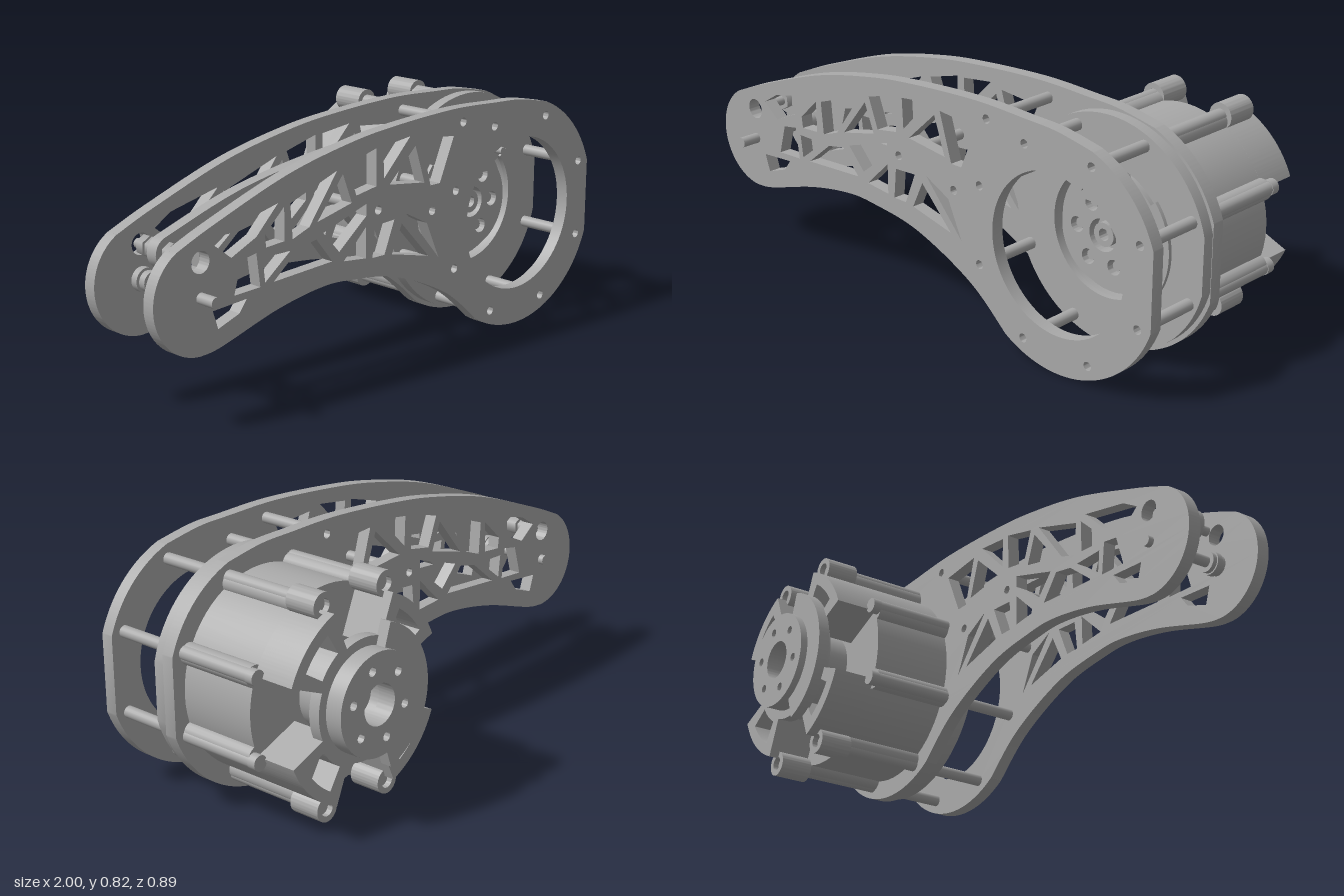
import * as THREE from 'three';
import { toCreasedNormals } from 'three/addons/utils/BufferGeometryUtils.js';

const CX = 0.622, CY = 0.4; // motor axis
const rad = THREE.MathUtils.degToRad;
const V = (p) => new THREE.Vector2(p[0], p[1]);

export function createModel() {
  const root = new THREE.Group();
  const metal = new THREE.MeshStandardMaterial({ color: 0xa9a9a9 });
  metal.name = 'machined grey';

  const add = (name, geometry, parent = root) => {
    const m = new THREE.Mesh(geometry, metal);
    m.name = name;
    parent.add(m);
    return m;
  };
  // Flat shape pulled from z0 to z1
  const slab = (name, shape, z0, z1, parent) => {
    const g = new THREE.ExtrudeGeometry(shape, { depth: z1 - z0, bevelEnabled: false, curveSegments: 40 });
    g.translate(0, 0, z0);
    return add(name, toCreasedNormals(g, 0.5), parent);
  };
  // Round bar along z
  const rod = (name, x, y, z0, z1, r, parent, sides = 20) => {
    const g = new THREE.CylinderGeometry(r, r, z1 - z0, sides);
    g.rotateX(Math.PI / 2);
    g.translate(x, y, (z0 + z1) / 2);
    return add(name, g, parent);
  };
  const circle = (x, y, r) => new THREE.Path().absarc(x, y, r, 0, Math.PI * 2, false);
  const disc = (r, holes = []) => {
    const s = new THREE.Shape().absarc(CX, CY, r, 0, Math.PI * 2, false);
    s.holes.push(...holes);
    return s;
  };
  // Ring sector around the motor axis, angles in degrees
  const sector = (r0, r1, a0, a1, Kind = THREE.Shape) => {
    const s = new Kind();
    s.absarc(CX, CY, r1, rad(a0), rad(a1), false);
    s.absarc(CX, CY, r0, rad(a1), rad(a0), true);
    s.closePath();
    return s;
  };
  const polar = (r, deg) => [CX + r * Math.cos(rad(deg)), CY + r * Math.sin(rad(deg))];
  const boltAngles = Array.from({ length: 8 }, (_, i) => 22.5 + i * 45);
  const standoffs = [[0.326, 0.765], [0.18, 0.487], [-0.075, 0.535]];

  // Side plates with truss windows
  const windows = [
    [[-.775, .35], [-.64, .36], [-.67, .32], [-.755, .29]],
    [[-.66, .485], [-.6, .495], [-.585, .385], [-.69, .38]],
    [[-.765, .55], [-.7, .59], [-.51, .635], [-.6, .545], [-.7, .5]],
    [[-.565, .545], [-.485, .62], [-.485, .51], [-.56, .505]],
    [[-.575, .475], [-.46, .475], [-.565, .395]],
    [[-.425, .475], [-.35, .49], [-.28, .405], [-.53, .39]],
    [[-.46, .625], [-.26, .695], [-.38, .535], [-.45, .51]],
    [[-.345, .545], [-.235, .68], [-.195, .58]],
    [[-.32, .505], [-.13, .565], [-.13, .525], [-.25, .43]],
    [[-.215, .705], [-.085, .74], [-.085, .615], [-.175, .6]],
    [[-.055, .74], [.07, .755], [-.05, .635]],
    [[-.025, .61], [.095, .72], [.14, .59]],
    [[.12, .74], [.28, .725], [.215, .575], [.17, .575]],
    [[-.23, .395], [-.13, .49], [-.13, .385]],
    [[-.09, .485], [0, .49], [-.045, .38], [-.1, .38]],
    [[-.01, .375], [.035, .47], [.165, .335]],
    [[.055, .5], [.155, .45], [.215, .32]],
  ];
  const plate = new THREE.Shape();
  const clip = Math.acos((1 - CX) / 0.4);
  plate.moveTo(0.76, 0.776);
  plate.splineThru([[.62, .802], [.49, .809], [.28, .815], [.01, .8], [-.2, .775], [-.47, .717], [-.765, .615], [-.91, .556]].map(V));
  plate.absarc(-0.82, 0.4, 0.18, rad(120), rad(270), false);
  plate.splineThru([[-.74, .232], [-.52, .297], [-.335, .329], [-.2, .327], [.01, .294], [.25, .19], [.41, .061]].map(V));
  plate.absarc(CX, CY, 0.4, rad(238), Math.PI * 2 - clip, false);
  plate.absarc(CX, CY, 0.4, clip, rad(69), false);
  plate.holes.push(circle(CX, CY, 0.27), circle(-0.82, 0.51, 0.035));
  for (const w of windows) plate.holes.push(new THREE.Path(w.map(V)));
  for (const [x, y] of [...standoffs, ...boltAngles.map((a) => polar(0.354, a))]) plate.holes.push(circle(x, y, 0.015));
  slab('frontPlate', plate, 0.33, 0.375);
  slab('backPlate', plate, 0.05, 0.095);

  // Standoffs between the plates
  const spacers = new THREE.Group();
  spacers.name = 'standoffs';
  root.add(spacers);
  for (const [x, y] of standoffs) rod('standoff', x, y, 0.08, 0.345, 0.019, spacers);
  for (const a of boltAngles) rod('standoff', ...polar(0.354, a), 0.09, 0.345, 0.02, spacers);

  // Arched push link with round ends
  const spine = new THREE.SplineCurve([[-.82, .51], [-.5, .61], [-.1, .672], [.2, .68], [.45, .655], [.635, .605]].map(V));
  const edge = [], half = 0.053, n = 32;
  const offset = (t, deg) => {
    const p = spine.getPoint(t), d = spine.getTangent(t).angle() + rad(deg);
    edge.push(new THREE.Vector2(p.x + half * Math.cos(d), p.y + half * Math.sin(d)));
  };
  for (let i = 0; i <= n; i++) offset(i / n, -90);
  for (let a = -75; a < 90; a += 15) offset(1, a);
  for (let i = n; i >= 0; i--) offset(i / n, 90);
  for (let a = 105; a < 270; a += 15) offset(0, a);
  slab('pushLink', new THREE.Shape(edge), 0.19, 0.233);

  // Joint shafts and collars at the narrow end
  const joint = new THREE.Group();
  joint.name = 'endJoint';
  root.add(joint);
  rod('outputShaft', -0.82, 0.4, 0.03, 0.445, 0.018, joint);
  for (const [z0, z1, r] of [[.095, .12, .04], [.125, .15, .034], [.28, .295, .034], [.295, .315, .039], [.315, .33, .034]])
    rod('bearingCollar', -0.82, 0.4, z0, z1, r, joint);
  rod('linkPin', -0.82, 0.51, 0.08, 0.29, 0.016, joint);
  for (const [z0, z1] of [[.11, .14], [.15, .19], [.233, .255]]) rod('linkCollar', -0.82, 0.51, z0, z1, 0.034, joint, 6);

  // Motor body with bolt ribs
  const motor = new THREE.Group();
  motor.name = 'motor';
  root.add(motor);
  rod('motorBody', CX, CY, -0.235, 0.06, 0.335, motor, 64);
  boltAngles.forEach((a, i) => {
    const [x, y] = polar(0.354, a);
    rod('bodyRib', ...polar(0.336, a), -0.235, 0.055, 0.036, motor);
    rod('throughBolt', x, y, -0.235, 0.055, 0.024, motor);
    const side = [0, 3, 4, 7].includes(i);
    if (side) rod('boltHead', x, y, -0.265, -0.235, 0.026, motor);
    else {
      const lug = new THREE.Shape().absarc(x, y, 0.043, 0, Math.PI * 2, false);
      lug.holes.push(circle(x, y, 0.024));
      slab('capLug', lug, -0.35, -0.235, motor);
      rod('lugScrew', x, y, -0.33, -0.235, 0.024, motor);
    }
  });

  // Mounting flange, clipped flush with the plate end
  const flange = new THREE.Shape();
  const fa = Math.acos((0.998 - CX) / 0.388);
  flange.absarc(CX, CY + 0.003, 0.388, fa, Math.PI * 2 - fa, false);
  flange.closePath();
  flange.holes.push(circle(CX, CY, 0.235));
  slab('mountingFlange', flange, 0.095, 0.135, motor);
  slab('flangeCollar', disc(0.27, [circle(CX, CY, 0.235)]), 0.05, 0.097, motor);
  slab('guardRing', sector(0.215, 0.255, 140, 400), 0.13, 0.148, motor);

  // Output rotor and crank
  const boltHoles = (r, count, size, turn = 0) =>
    Array.from({ length: count }, (_, i) => circle(...polar(r, turn + i * 360 / count), size));
  rod('rotor', CX, CY, 0.055, 0.12, 0.205, motor, 48);
  slab('crankDisc', disc(0.17, [circle(CX, CY, 0.055), ...boltHoles(0.107, 6, 0.026, -3)]), 0.115, 0.16, motor);
  slab('rotorHub', disc(0.04, [circle(CX, CY, 0.02)]), 0.115, 0.155, motor);
  for (let i = 0; i < 6; i++) rod('rotorScrew', ...polar(0.107, -3 + i * 60), 0.115, 0.145, 0.017, motor, 12);
  const lobe = new THREE.Shape([[.53, .5], [.73, .5], [.685, .62], [.66, .645], [.635, .653], [.61, .645], [.585, .62]].map(V));
  slab('crankLobe', lobe, 0.115, 0.16, motor);
  rod('crankPin', 0.635, 0.605, 0.15, 0.29, 0.013, motor);
  for (const [z0, z1, r] of [[.16, .168, .028], [.168, .18, .035], [.18, .19, .028]])
    rod('crankCollar', 0.635, 0.605, z0, z1, r, motor);

  // Rear cap: four windowed arms around an inner drum
  rod('innerDrum', CX, CY, -0.335, -0.235, 0.13, motor, 40);
  for (let a = 45; a < 360; a += 90) {
    const arm = sector(0.165, 0.335, a - 22.5, a + 22.5);
    arm.holes.push(sector(0.215, 0.295, a - 13, a + 13, THREE.Path));
    slab('capArm', arm, -0.385, -0.235, motor);
    slab('armFloor', sector(0.21, 0.3, a - 14, a + 14), -0.3, -0.28, motor);
  }
  slab('capRing', disc(0.2, [circle(CX, CY, 0.07)]), -0.385, -0.345, motor);
  slab('capStep', sector(0.15, 0.25, 108, 252), -0.42, -0.38, motor);
  slab('rearHub', disc(0.17, [circle(CX, CY, 0.068), ...boltHoles(0.118, 6, 0.015, 15)]), -0.445, -0.38, motor);
  return root;
}
